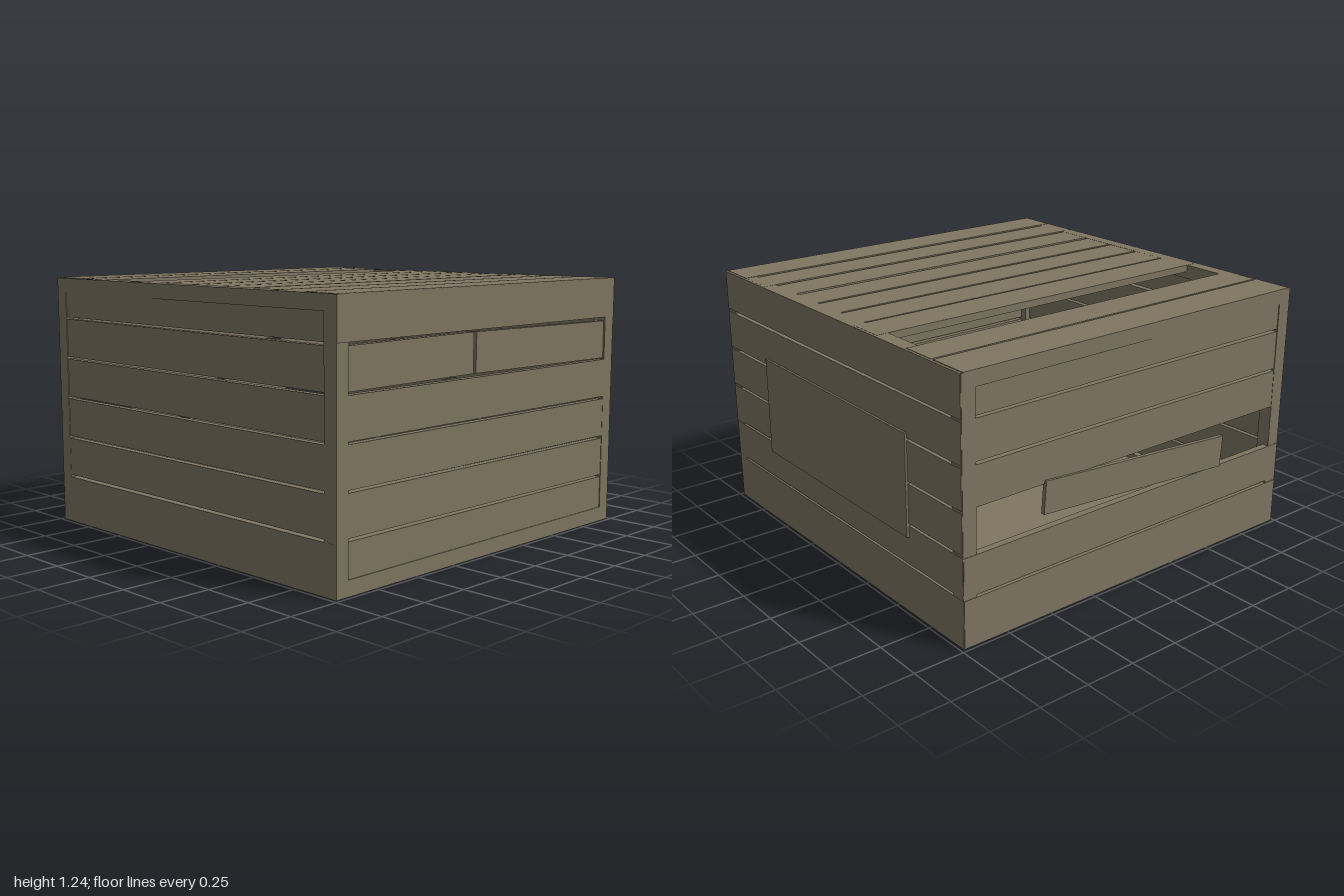
import * as THREE from 'three';

const wood = new THREE.MeshStandardMaterial({ color: 0x7f7561 });
wood.name = 'weathered wood';

const E = 0.985;   // half width of the crate
const H = 1.235;   // height of the crate
const B = 0.07;    // beam thickness
const T = 0.035;   // plank thickness

function box(parent, name, w, h, d, x, y, z) {
  const m = new THREE.Mesh(new THREE.BoxGeometry(w, h, d), wood);
  m.name = name;
  m.position.set(x, y, z);
  parent.add(m);
  return m;
}

// small repeatable unevenness, -1..1
const wobble = (i) => Math.sin(i * 12.9898 + 1.7);

// one wall facing +z, built from six rows; rows listed in skip are left out
function wall(name, angle, seed, skip = []) {
  const g = new THREE.Group();
  g.name = name;
  for (let i = 0; i < 6; i++) {
    if (skip.includes(i)) continue;
    const y0 = i === 0 ? 0.005 : 0.042 + i * 0.2;
    const y1 = i === 5 ? H : 0.23 + i * 0.2;
    const k = wobble(seed + i);
    const p = box(g, 'wallPlank', 2 * E - 0.004, y1 - y0, T, 0, (y0 + y1) / 2, E - T / 2 + k * 0.004);
    if (i > 0 && i < 5) p.rotation.z = k * 0.002;
  }
  g.rotation.y = angle;
  return g;
}

export function createModel() {
  const crate = new THREE.Group();
  crate.name = 'crate';

  // floor slab
  box(crate, 'floor', 2 * E, 0.04, 2 * E, 0, 0.02, 0);

  // frame: corner posts and edge beams
  const c = E - B / 2;
  for (const s of [-1, 1]) {
    for (const t of [-1, 1]) box(crate, 'cornerPost', B, H, B, s * c, H / 2, t * c);
    for (const y of [B / 2 + 0.002, H - B / 2]) {
      box(crate, 'crossBeam', 2 * E, B, B, 0, y, s * c);
      box(crate, 'sideBeam', B, B, 2 * E, s * c, y, 0);
    }
  }

  // walls
  const left = wall('leftWall', Math.PI / 2, 23, [4]);
  crate.add(
    wall('frontWall', 0, 3),
    wall('backWall', Math.PI, 11),
    left,
    wall('rightWall', -Math.PI / 2, 31, [2]),
  );

  // snapped plank in the left wall: local x runs towards -z
  const splitZ = E - T / 2 - 0.004;
  box(left, 'snappedPlankFront', 0.86, 0.186, T, -0.552, 0.937, splitZ).rotation.z = 0.007;
  box(left, 'snappedPlankBack', 1.07, 0.186, T, 0.437, 0.934, splitZ - 0.004).rotation.z = -0.009;

  // loose board hanging across the opening in the right wall
  const board = box(crate, 'looseBoard', 0.02, 0.155, 1.11, -E, 0.543, 0);
  board.rotation.x = 0.07;

  // patch nailed over the back
  box(crate, 'backPatch', 1.2, 0.49, 0.02, 0, 0.625, -E - 0.004).rotation.z = 0.005;

  // lid planks, with one missing
  const lid = [
    [-0.985, -0.787], [-0.773, -0.598], [-0.377, -0.195], [-0.184, -0.005], [0.01, 0.19],
    [0.206, 0.38], [0.402, 0.582], [0.6, 0.777], [0.795, 0.985],
  ];
  lid.forEach(([a, b], i) => {
    const k = wobble(i + 47);
    const p = box(crate, 'lidPlank', b - a, T, 2 * E - 0.02, (a + b) / 2, H - T / 2 + 0.002 + k * 0.003, 0);
    if (i > 0 && i < 8) p.rotation.y = k * 0.002;
  });

  return crate;
}
